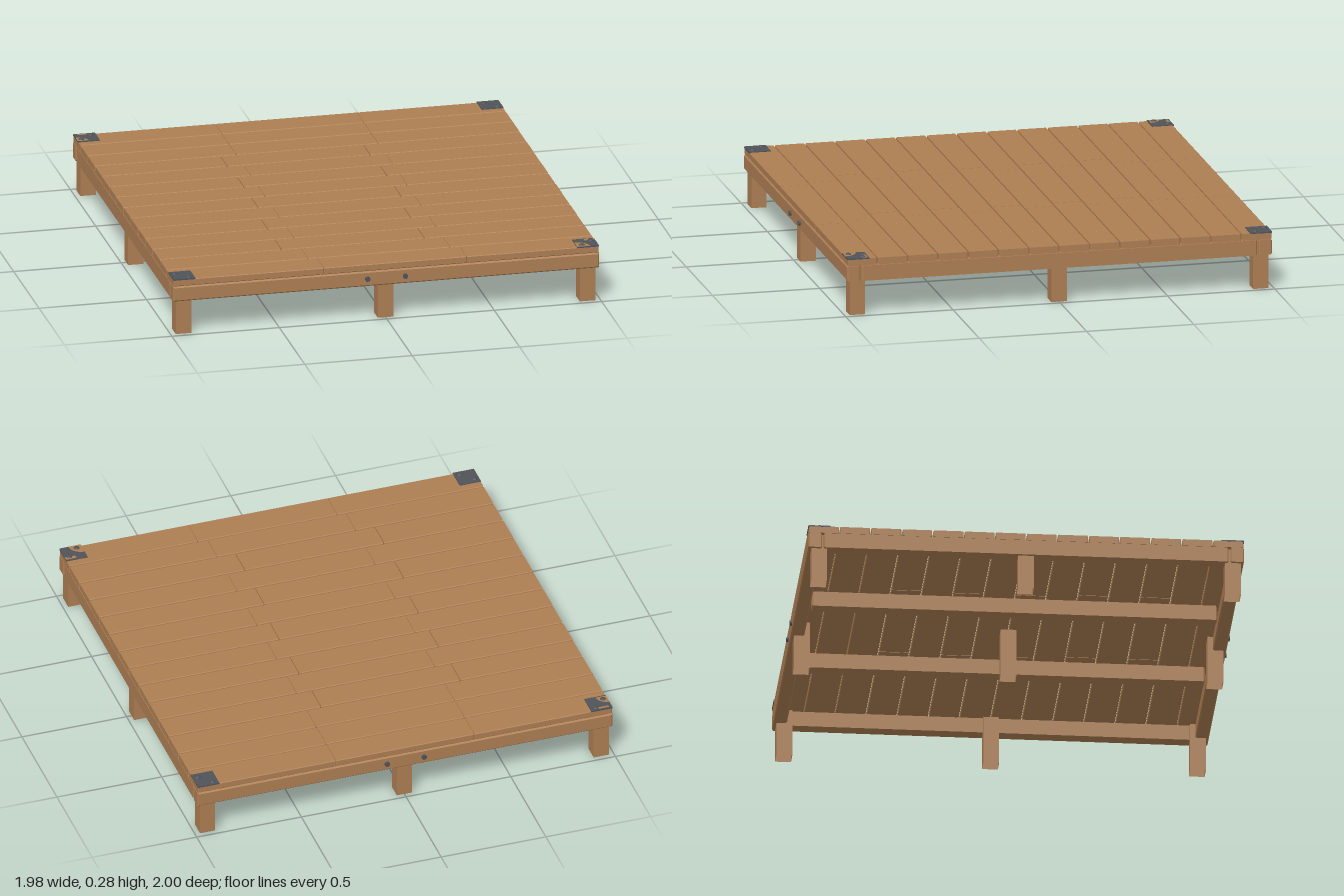
import * as THREE from 'three';

const wood = new THREE.MeshStandardMaterial({ name: 'wood', color: 0xad7e53, side: THREE.DoubleSide });
const metal = new THREE.MeshStandardMaterial({ name: 'dark metal', color: 0x4f5358 });

// Box with chamfered edges, centred on the origin
function chamferBox(w, h, d, b) {
  const x = w / 2 - b, y = h / 2 - b;
  const shape = new THREE.Shape([[-x, -y], [x, -y], [x, y], [-x, y]].map(p => new THREE.Vector2(...p)));
  return new THREE.ExtrudeGeometry(shape, {
    depth: d - 2 * b, bevelEnabled: true, bevelThickness: b, bevelSize: b, bevelSegments: 1,
  }).translate(0, 0, -d / 2 + b);
}

// Square tube with open ends and flat sides
function squareTube(width, height) {
  const r = width / Math.SQRT2;
  const geometry = new THREE.CylinderGeometry(r, r, height, 4, 1, true).rotateY(Math.PI / 4).toNonIndexed();
  geometry.computeVertexNormals();
  return geometry;
}

function add(parent, name, geometry, material, x, y, z) {
  const mesh = new THREE.Mesh(geometry, material);
  mesh.name = name;
  mesh.position.set(x, y, z);
  parent.add(mesh);
  return mesh;
}

function group(parent, name) {
  const g = new THREE.Group();
  g.name = name;
  parent.add(g);
  return g;
}

export function createModel() {
  const model = new THREE.Group();
  model.name = 'woodenDeck';

  // Deck boards: 14 rows of three boards, some rows with shifted joints
  const deck = group(model, 'deckBoards');
  const joints = {
    3: [-0.405, 0.26], 5: [-0.395, 0.27], 7: [-0.395, 0.27],
    9: [-0.418, 0.247], 11: [-0.42, 0.245], 13: [-0.29, 0.375],
  };
  const rows = 14, pitch = 1.98 / rows, edge = 0.99;
  for (let r = 0; r < rows; r++) {
    const z = -0.99 + pitch * (r + 0.5);
    const loose = r in joints && r < 13;
    const depth = pitch - (loose ? 0.007 : 0.005);
    const cuts = [-edge, ...(joints[r] ?? [-0.33, 0.33]), edge];
    for (let i = 0; i < 3; i++) {
      const w = cuts[i + 1] - cuts[i] - (loose ? 0.004 : 0.002);
      add(deck, 'board', chamferBox(w, 0.032, depth, 0.003), wood, (cuts[i] + cuts[i + 1]) / 2, 0.249, z);
    }
  }

  // Frame: long rails front and back, side rails between them, two joists
  const frame = group(model, 'frame');
  const railY = 0.196, railH = 0.071;
  for (const s of [-1, 1]) {
    add(frame, 'endRail', chamferBox(1.982, railH, 0.062, 0.006), wood, 0, railY, s * 0.959);
    add(frame, 'sideRail', chamferBox(0.062, railH, 1.84, 0.006), wood, s * 0.959, railY, 0);
    add(frame, 'joist', chamferBox(0.065, railH, 1.84, 0.006), wood, s * 0.33, railY, 0);
  }

  // Nine hollow square posts
  const posts = group(model, 'posts');
  const postGeo = squareTube(0.072, 0.228);
  for (const x of [-0.94, 0, 0.94])
    for (const z of [-0.94, 0, 0.94])
      add(posts, 'post', postGeo, wood, x, 0.114, z);

  // Metal corner plates with two low domed screw heads each
  const plates = group(model, 'cornerPlates');
  const plateGeo = new THREE.BoxGeometry(0.102, 0.006, 0.102);
  const screwGeo = new THREE.SphereGeometry(0.014, 14, 5, 0, Math.PI * 2, 0, Math.PI / 2).scale(1, 0.5, 1);
  for (const sx of [-1, 1])
    for (const sz of [-1, 1]) {
      add(plates, 'cornerPlate', plateGeo, metal, sx * 0.939, 0.2655, sz * 0.939);
      add(plates, 'plateScrew', screwGeo, metal, sx * 0.968, 0.2685, sz * 0.915);
      add(plates, 'plateScrew', screwGeo, metal, sx * 0.915, 0.2685, sz * 0.968);
    }

  // Wood showing through two of the plates
  const quarter = r => new THREE.CircleGeometry(r, 10, 0, Math.PI / 2).rotateX(-Math.PI / 2);
  const strip = (w, d) => new THREE.PlaneGeometry(w, d).rotateX(-Math.PI / 2);
  add(plates, 'bareWoodPatch', quarter(0.05), wood, -0.99, 0.2695, -0.895);
  add(plates, 'bareWoodPatch', strip(0.05, 0.012), wood, -0.95, 0.2695, -0.977);
  add(plates, 'bareWoodPatch', quarter(0.06), wood, 0.888, 0.2695, 0.99);
  add(plates, 'bareWoodPatch', strip(0.05, 0.02), wood, 0.965, 0.2695, 0.905);

  // Bolts through the front and back rails
  const bolts = group(model, 'bolts');
  const boltGeo = new THREE.CylinderGeometry(0.012, 0.012, 0.02, 10).rotateX(Math.PI / 2);
  for (const x of [-0.088, 0.088])
    for (const s of [-1, 1])
      add(bolts, 'bolt', boltGeo, metal, x, 0.197, s * 0.99);

  return model;
}
